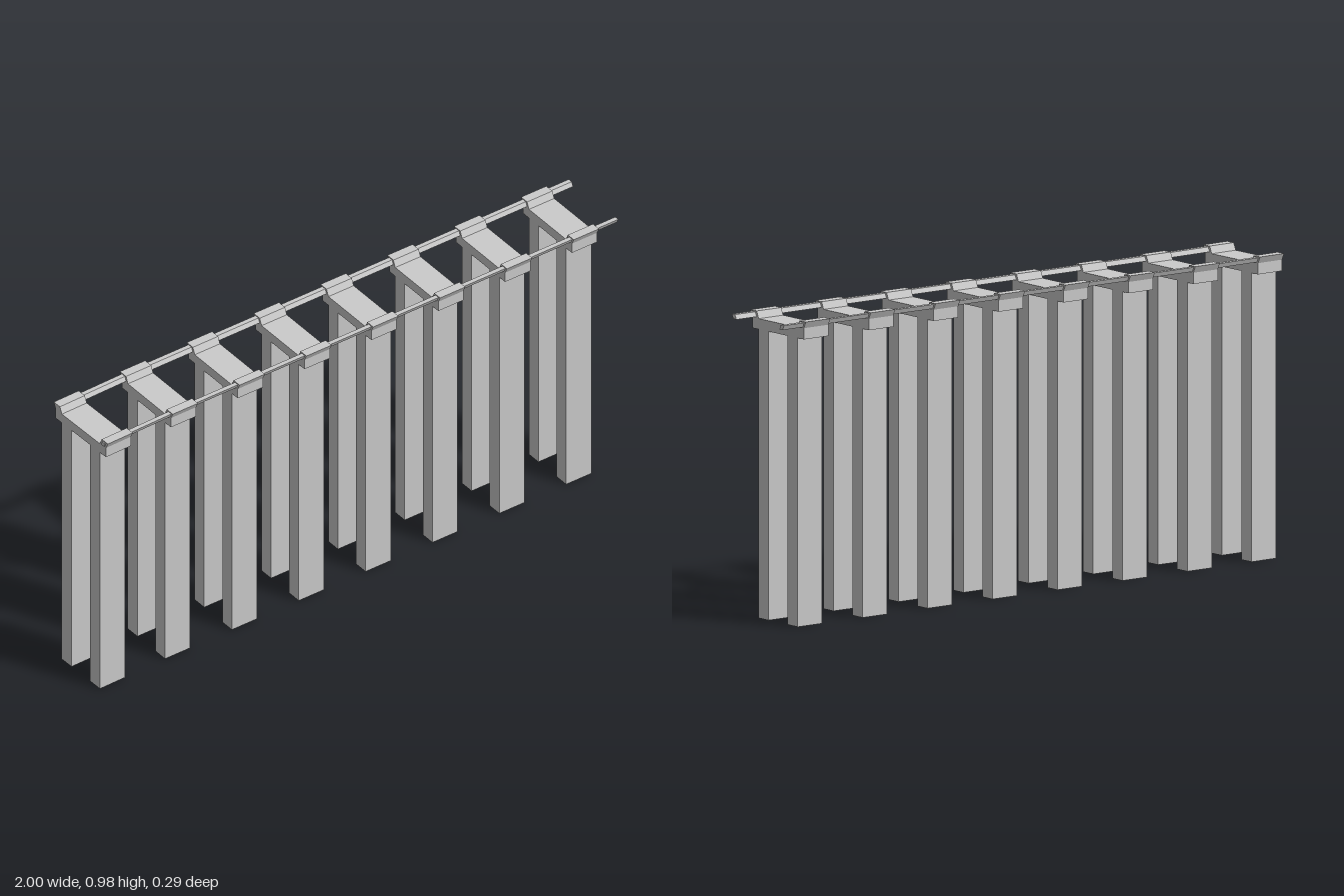
import * as THREE from 'three';

const COUNT = 8, SPACING = 0.26, FIRST_X = -0.95, WIDTH = 0.098;
const material = new THREE.MeshStandardMaterial({ color: 0xcccccc, flatShading: true });

// sideways drift of the track: it bends slightly between the first two supports
const drift = x => THREE.MathUtils.lerp(0.003, -0.003,
  THREE.MathUtils.clamp((x - FIRST_X) / SPACING, 0, 1));

function addMesh(parent, name, geometry) {
  const mesh = new THREE.Mesh(geometry, material);
  mesh.name = name;
  parent.add(mesh);
  return mesh;
}

// cross beam with a flared rail holder at both ends, extruded along x
function crossBeamGeometry() {
  const half = [[0.13, 0.921], [0.13, 0.957], [0.14, 0.978], [0.108, 0.978], [0.098, 0.955]];
  const mirrored = half.map(([z, y]) => [-z, y]).reverse();
  const shape = new THREE.Shape([...half, ...mirrored].map(p => new THREE.Vector2(...p)));
  const geometry = new THREE.ExtrudeGeometry(shape, { depth: WIDTH, bevelEnabled: false });
  return geometry.translate(0, 0, -WIDTH / 2).rotateY(-Math.PI / 2);
}

// slanted bar that leans outward with the holders and follows the drift
function railGeometry(side) {
  const geometry = new THREE.BoxGeometry(2, 0.015, 0.016, 40, 1, 1);
  const p = geometry.attributes.position;
  for (let i = 0; i < p.count; i++) {
    const x = p.getX(i), y = p.getY(i);
    p.setXYZ(i, x, y + 0.967, p.getZ(i) + side * (0.12 + y * 0.45) + drift(x));
  }
  geometry.computeVertexNormals();
  return geometry;
}

export function createModel() {
  const model = new THREE.Group();
  model.name = 'elevatedTrack';

  const beam = crossBeamGeometry();
  const leg = new THREE.BoxGeometry(WIDTH, 0.921, 0.051).translate(0, 0.4605, 0);

  // row of two-legged supports
  for (let i = 0; i < COUNT; i++) {
    const support = new THREE.Group();
    support.name = `support${i + 1}`;
    const x = FIRST_X + i * SPACING;
    support.position.set(x, 0, drift(x));
    if (i === 0) support.rotation.y = 0.02;
    addMesh(support, 'crossBeam', beam);
    addMesh(support, 'frontLeg', leg).position.z = 0.0735;
    addMesh(support, 'backLeg', leg).position.z = -0.0735;
    model.add(support);
  }

  // rails carried by the holders
  addMesh(model, 'frontRail', railGeometry(1));
  addMesh(model, 'backRail', railGeometry(-1));
  return model;
}
